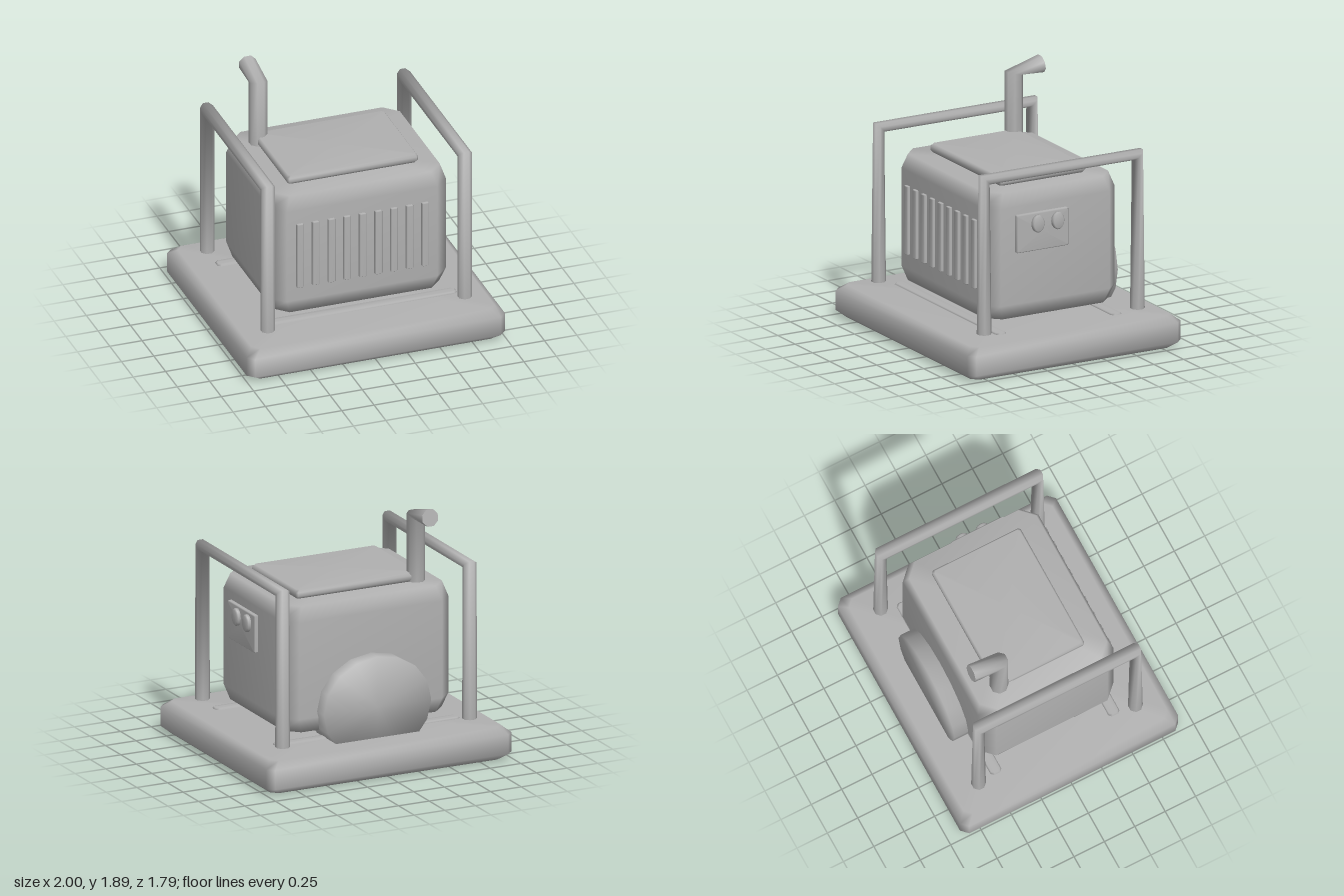
import * as THREE from 'three';

// Joins closed rings of points (counter-clockwise around the sweep) and caps both ends.
// softCaps shares the end rings with the caps so shading runs over the edge.
function loft(rings, softCaps = true) {
  const n = rings[0].length;
  const pos = [];
  const idx = [];
  const push = (p) => pos.push(p.x, p.y, p.z) / 3 - 1;
  rings.forEach((r) => r.forEach(push));
  for (let k = 0; k < rings.length - 1; k++) {
    for (let i = 0; i < n; i++) {
      const a = k * n + i, b = k * n + (i + 1) % n;
      idx.push(a, b, b + n, a, b + n, a + n);
    }
  }
  [0, rings.length - 1].forEach((k) => {
    const ring = rings[k];
    const ids = ring.map((p, i) => (softCaps ? k * n + i : push(p)));
    const c = push(ring.reduce((s, p) => s.add(p), new THREE.Vector3()).divideScalar(n));
    for (let i = 0; i < n; i++) {
      const a = ids[i], b = ids[(i + 1) % n];
      if (k === 0) idx.push(c, b, a);
      else idx.push(c, a, b);
    }
  });
  const g = new THREE.BufferGeometry();
  g.setAttribute('position', new THREE.Float32BufferAttribute(pos, 3));
  g.setIndex(idx);
  g.computeVertexNormals();
  return g;
}

// Box standing on y0 with cut corners in plan and bevelled top and bottom edges.
function bevelBox(hx, hz, y0, y1, corner, inset, rise) {
  const ring = (y, d) => {
    const x = hx - d, z = hz - d, c = corner;
    return [[x - c, z], [x, z - c], [x, c - z], [x - c, -z], [c - x, -z], [-x, c - z], [-x, z - c], [c - x, z]]
      .map(([px, pz]) => new THREE.Vector3(px, y, pz));
  };
  return loft([ring(y0, inset), ring(y0 + rise, 0), ring(y1 - rise, 0), ring(y1, inset)]);
}

// Pipe in a plane of constant x; each station is [y, z, tangentY, tangentZ].
function pipe(x, stations, apothem) {
  const n = 8;
  const r = apothem / Math.cos(Math.PI / n);
  const u = new THREE.Vector3(1, 0, 0);
  return loft(stations.map(([y, z, ty, tz]) => {
    const v = new THREE.Vector3(0, ty, tz).normalize().cross(u);
    return Array.from({ length: n }, (_, i) => {
      const a = (i + 0.5) / n * Math.PI * 2;
      return new THREE.Vector3(x, y, z).addScaledVector(u, r * Math.cos(a)).addScaledVector(v, r * Math.sin(a));
    });
  }), false);
}

// Elliptical disc along z; each station is [z, radiusX, radiusY], z increasing.
function disc(stations, n) {
  return loft(stations.map(([z, rx, ry]) => Array.from({ length: n }, (_, i) => {
    const a = i / n * Math.PI * 2;
    return new THREE.Vector3(rx * Math.cos(a), ry * Math.sin(a), z);
  })));
}

export function createModel() {
  const model = new THREE.Group();
  model.name = 'generator';
  const grey = new THREE.MeshStandardMaterial({ color: 0xb0b0b0 });
  grey.name = 'plain grey';

  const add = (name, geometry, x = 0, y = 0, z = 0) => {
    const mesh = new THREE.Mesh(geometry, grey);
    mesh.name = name;
    mesh.position.set(x, y, z);
    model.add(mesh);
    return mesh;
  };

  // Base slab and the two low skids on it
  add('base', bevelBox(1, 0.897, 0, 0.247, 0.05, 0.06, 0.05));
  for (const s of [1, -1]) {
    add('skid', bevelBox(0.75, 0.045, 0.2, 0.257, 0.02, 0.01, 0.01), 0, 0, s * 0.485);
  }

  // Housing and lid
  add('housing', bevelBox(0.683, 0.558, 0.325, 1.285, 0.1, 0.035, 0.11));
  add('lid', bevelBox(0.507, 0.365, 1.287, 1.355, 0.015, 0.015, 0.02));

  // Front vent slats
  for (let i = 0; i < 9; i++) {
    add('ventSlat', bevelBox(0.028, 0.03, 0.545, 1.065, 0.007, 0.005, 0.005), (i - 4) * 0.121, 0, 0.552);
  }

  // Control panel and its two knobs on the left side
  const panel = add('controlPanel', bevelBox(0.143, 0.218, 0, 0.055, 0.008, 0.008, 0.008), 0.66, 0.972, 0.122);
  panel.rotation.z = -Math.PI / 2;
  for (const z of [0.17, 0.003]) {
    const knob = add('knob', disc([[0, 0.05, 0.066], [0.035, 0.05, 0.066], [0.045, 0.04, 0.054]], 14), 0.7, 1.035, z);
    knob.rotation.y = Math.PI / 2;
  }

  // Round fan cover at the back
  add('fanCover', disc([[-0.67, 0.437, 0.385], [-0.365, 0.437, 0.385]], 16), 0, 0.48, 0);

  // Tubular guard on each side
  for (const s of [1, -1]) {
    add('guardFrame', pipe(s * 0.762, [
      [0.28, 0.645, 1, 0], [1.45, 0.645, 1, -1], [1.45, -0.645, -1, -1], [0.28, -0.645, -1, 0],
    ], 0.05));
  }

  // Exhaust stack with a bent outlet
  add('exhaust', pipe(-0.484, [
    [1.2, -0.33, 1, 0], [1.79, -0.33, 0.97, -0.24], [1.824, -0.56, 0.16, -0.98],
  ], 0.063));

  return model;
}
